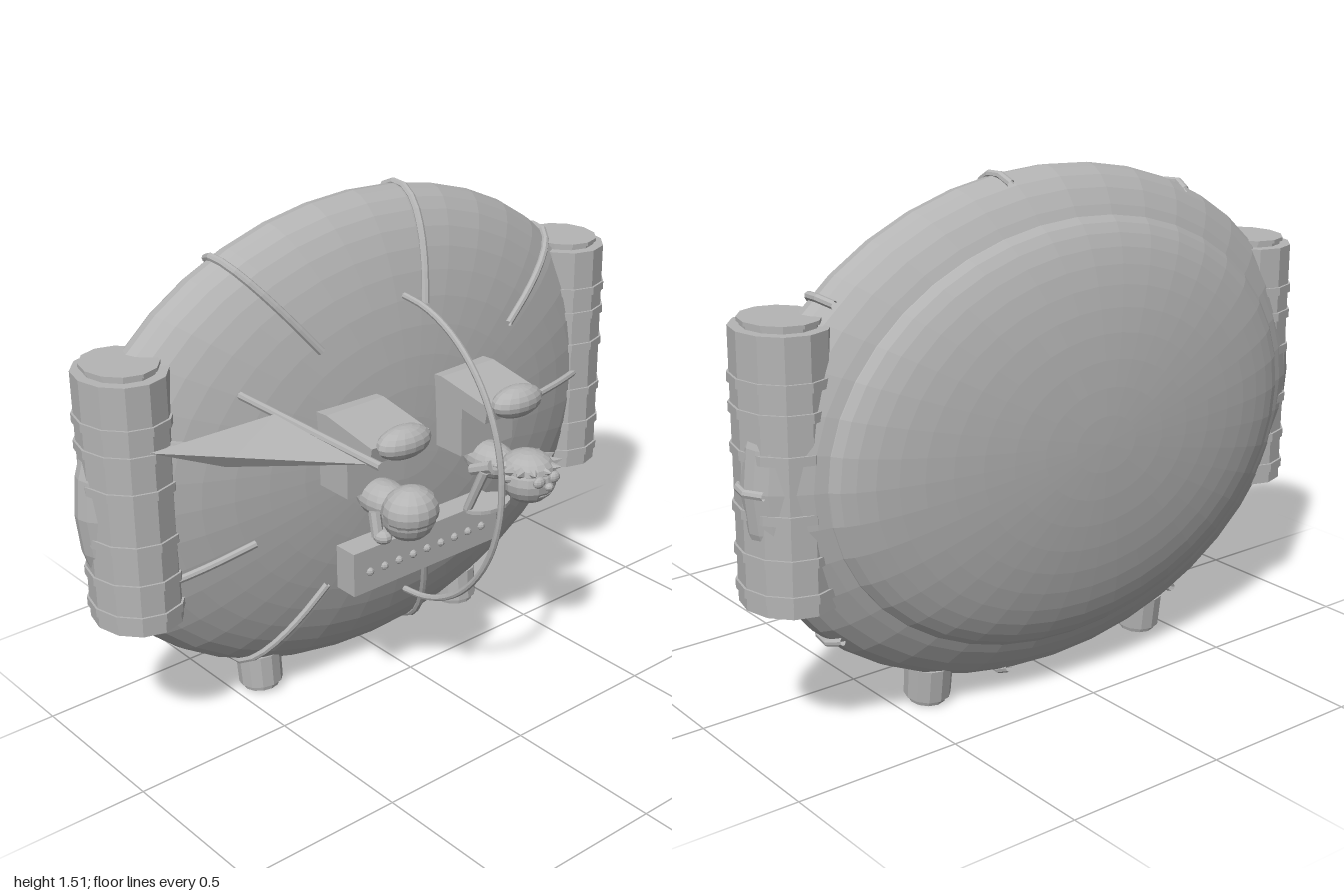
import * as THREE from 'three';

const grey = new THREE.MeshStandardMaterial({ color: 0xb4b4b4, flatShading: true, side: THREE.DoubleSide });
grey.name = 'plain grey';

export function createModel() {
  const model = new THREE.Group();

  const add = (name, geo, x = 0, y = 0, z = 0, parent = model) => {
    const m = new THREE.Mesh(geo, grey);
    m.name = name;
    m.position.set(x, y, z);
    parent.add(m);
    return m;
  };
  const ball = (name, p, r, parent, w = 16, h = 10) => {
    const m = add(name, new THREE.SphereGeometry(1, w, h), ...p, parent);
    m.scale.set(...r);
    return m;
  };
  // Straight rod, or cone when r2 is zero, between two points
  const rod = (name, a, b, r1, r2 = r1, parent = model, sides = 8) => {
    const A = new THREE.Vector3(...a), B = new THREE.Vector3(...b);
    const d = B.clone().sub(A);
    const m = add(name, new THREE.CylinderGeometry(r2, r1, d.length(), sides), 0, 0, 0, parent);
    m.position.copy(A).add(B).multiplyScalar(0.5);
    m.quaternion.setFromUnitVectors(new THREE.Vector3(0, 1, 0), d.normalize());
    return m;
  };
  const tube = (name, pts, r, seg) =>
    add(name, new THREE.TubeGeometry(new THREE.CatmullRomCurve3(pts), seg, r, 8));

  // Hull and the shallower shell at the back, poles along z
  const hull = (name, z, rx, ry, rz) =>
    add(name, new THREE.SphereGeometry(1, 40, 24).rotateX(Math.PI / 2).scale(rx, ry, rz), -0.005, 0.77, z);
  hull('hull', -0.25, 0.985, 0.74, 0.25);
  hull('rearShell', -0.37, 0.825, 0.618, 0.16);

  // Ribs following the hull from the front face past the rim
  for (let i = 0; i < 9; i++) {
    const a = i * Math.PI * 2 / 9;
    const pts = [];
    for (let k = 0; k <= 6; k++) {
      const phi = 0.62 + (1.81 - 0.62) * k / 6;
      pts.push(new THREE.Vector3(
        0.99 * Math.sin(phi) * Math.cos(a) - 0.005,
        0.77 + 0.743 * Math.sin(phi) * Math.sin(a),
        -0.25 + 0.255 * Math.cos(phi)));
    }
    tube('rib', pts, 0.012, 10);
  }

  // Canopy hoop
  const hoop = [];
  for (let k = 0; k <= 16; k++) {
    const a = -Math.PI / 2 + Math.PI * k / 16;
    hoop.push(new THREE.Vector3(-0.01, 0.77 + 0.482 * Math.sin(a), -0.015 + 0.42 * Math.cos(a)));
  }
  tube('canopyHoop', hoop, 0.01, 40);

  // Side pods with bands and end caps
  for (const s of [-1, 1]) {
    const pod = new THREE.Group();
    pod.name = s > 0 ? 'leftPod' : 'rightPod';
    pod.position.set(s * 0.84, 0, -0.222);
    pod.scale.set(0.9, 1, 1.03);
    model.add(pod);
    const drum = (name, r, y0, y1) =>
      add(name, new THREE.CylinderGeometry(r, r, y1 - y0, 12), 0, (y0 + y1) / 2, 0, pod);
    drum('podBody', 0.143, 0.43, 1.185);
    drum('podCap', 0.11, 1.185, 1.195);
    drum('podCapRim', 0.118, 1.195, 1.206);
    for (const y of [1.05, 0.97, 0.86, 0.7, 0.58, 0.48]) drum('podBand', 0.15, y - 0.013, y + 0.013);
  }

  // Feet
  for (const x of [-0.415, 0.4]) {
    const foot = new THREE.Group();
    foot.name = 'foot';
    foot.position.set(x, 0.01, -0.23);
    foot.rotation.x = -0.1;
    model.add(foot);
    add('footBarrel', new THREE.CylinderGeometry(0.07, 0.068, 0.1, 12), 0, 0.067, 0, foot);
    add('footPad', new THREE.CylinderGeometry(0.06, 0.055, 0.02, 12), 0, 0.01, 0, foot);
  }

  // Seats: stepped side profile (z, y) extruded across x, with a cushion
  const profile = [[-0.05, 0.75], [0.11, 0.75], [0.11, 0.905], [0.21, 0.89], [0.22, 0.945], [0.02, 0.98], [-0.05, 0.975]];
  const seatShape = new THREE.Shape(profile.map(([z, y]) => new THREE.Vector2(-z, y)));
  for (const x of [-0.225, 0.21]) {
    const g = new THREE.ExtrudeGeometry(seatShape, { depth: 0.21, bevelEnabled: false });
    g.translate(0, 0, -0.105).rotateY(Math.PI / 2);
    add('seat', g, x, 0, 0);
    ball('headrest', [x, 0.942, 0.232], [0.092, 0.048, 0.052]);
  }

  // Console with a row of buttons
  add('console', new THREE.BoxGeometry(0.57, 0.14, 0.08), -0.01, 0.48, 0.05);
  for (let i = 0; i < 9; i++) ball('button', [-0.235 + i * 0.0555, 0.475, 0.09], [0.013, 0.013, 0.013], model, 8, 6);

  // Right-hand pilot: round head leaning forward
  const p1 = new THREE.Group();
  p1.name = 'roundHeadedPilot';
  p1.position.x = -0.222;
  model.add(p1);
  ball('torso', [0, 0.73, 0.14], [0.065, 0.055, 0.1], p1);
  ball('head', [0, 0.725, 0.25], [0.08, 0.08, 0.08], p1);
  ball('hairCap', [0, 0.74, 0.258], [0.085, 0.07, 0.078], p1);
  for (const s of [-1, 1]) {
    rod('arm', [s * 0.06, 0.72, 0.17], [s * 0.065, 0.65, 0.19], 0.018, 0.018, p1);
    ball('hand', [s * 0.055, 0.65, 0.2], [0.027, 0.022, 0.03], p1, 10, 8);
  }

  // Left-hand pilot: spiky hair, pointed ears, standing on a disc
  const p2 = new THREE.Group();
  p2.name = 'spikyPilot';
  p2.position.x = 0.205;
  model.add(p2);
  ball('torso', [0, 0.72, 0.13], [0.065, 0.055, 0.1], p2);
  ball('head', [0, 0.72, 0.295], [0.085, 0.077, 0.085], p2);
  ball('hairCap', [0, 0.752, 0.29], [0.078, 0.05, 0.083], p2);
  ball('nose', [0, 0.718, 0.38], [0.015, 0.012, 0.014], p2, 8, 6);
  ball('mouth', [0, 0.687, 0.362], [0.03, 0.008, 0.01], p2, 8, 6);
  for (const s of [-1, 1]) {
    ball('eye', [s * 0.03, 0.737, 0.37], [0.022, 0.018, 0.014], p2, 10, 8);
    rod('ear', [s * 0.07, 0.735, 0.29], [s * 0.112, 0.745, 0.29], 0.02, 0, p2);
    rod('thigh', [s * 0.05, 0.73, 0.19], [s * 0.065, 0.7, 0.12], 0.02, 0.018, p2);
    rod('leg', [s * 0.06, 0.71, 0.17], [s * 0.075, 0.57, 0.115], 0.016, 0.014, p2);
  }
  for (let i = 0; i < 9; i++) {
    const a = -0.5 + i * (Math.PI + 1) / 8;
    const c = Math.cos(a), s = Math.sin(a);
    rod('hairSpike', [c * 0.07, 0.76, 0.29 + s * 0.065], [c * 0.11, 0.765, 0.29 + s * 0.1], 0.018, 0, p2, 6);
  }
  const disc = add('footDisc', new THREE.CylinderGeometry(1, 1, 0.012, 16), 0, 0.565, 0.12, p2);
  disc.scale.set(0.085, 1, 0.055);

  // Pole with a folded pennant
  rod('flagPole', [-0.555, 1.075, -0.07], [-0.555, 1.075, 0.53], 0.012);
  const pennant = new THREE.BufferGeometry();
  pennant.setAttribute('position', new THREE.Float32BufferAttribute([
    -0.95, 1.075, 0.08, -0.56, 1.08, 0.1, -0.56, 1.07, 0.49, -0.8, 1.033, 0.2], 3));
  pennant.setIndex([0, 3, 1, 1, 3, 2, 0, 2, 3]);
  const flat = pennant.toNonIndexed();
  flat.computeVertexNormals();
  add('pennant', flat);

  return model;
}
